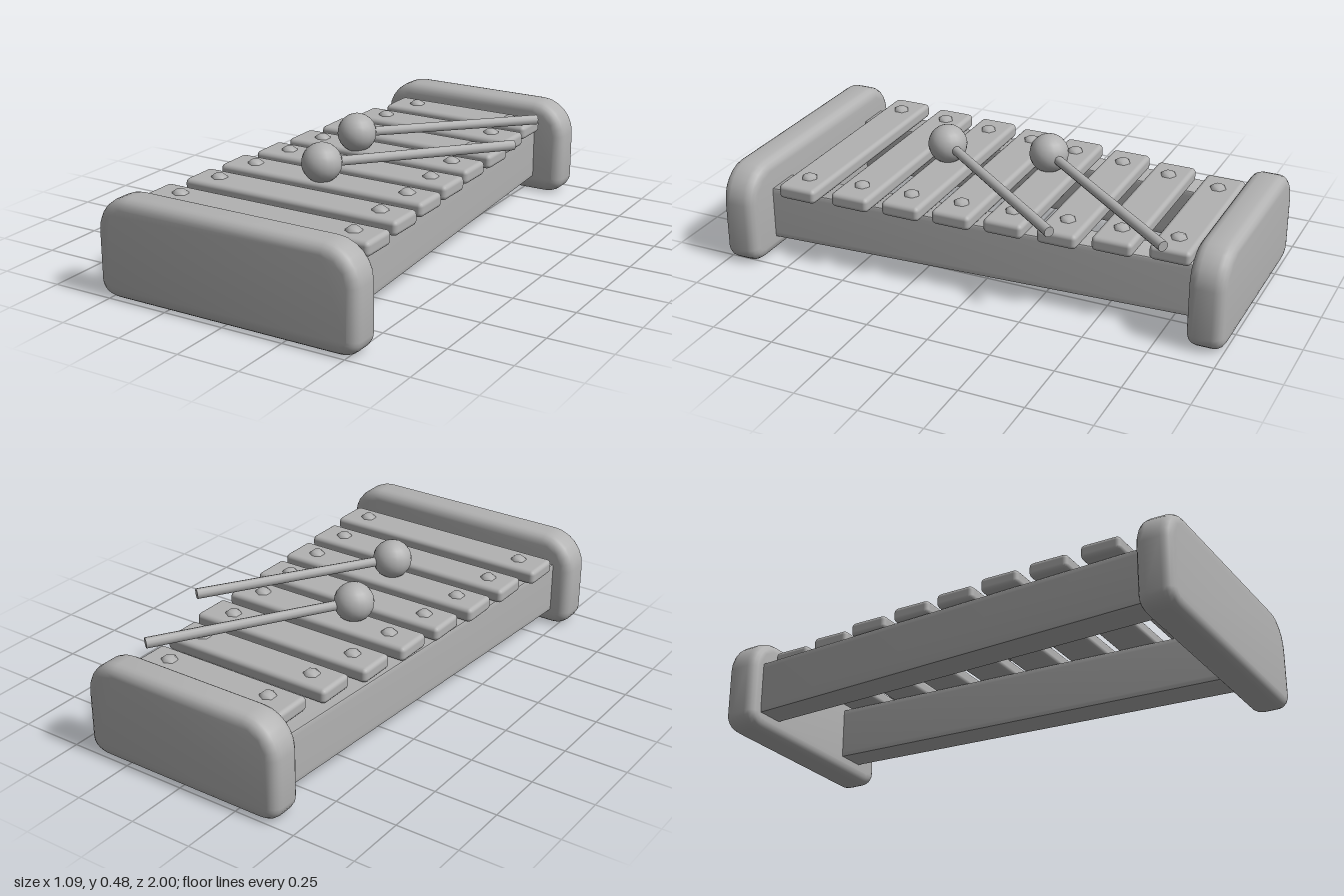
import * as THREE from 'three';
import { toCreasedNormals } from 'three/addons/utils/BufferGeometryUtils.js';
import { RoundedBoxGeometry } from 'three/addons/geometries/RoundedBoxGeometry.js';

const grey = new THREE.MeshStandardMaterial({ color: 0xb2b2b2 });
grey.name = 'plain grey';

function add(parent, name, geometry, x = 0, y = 0, z = 0) {
  const mesh = new THREE.Mesh(geometry, grey);
  mesh.name = name;
  mesh.position.set(x, y, z);
  parent.add(mesh);
  return mesh;
}

// Upright board with wide top corners, tight bottom corners and rounded rims
function endBoard(halfWidth) {
  const b = 0.04;
  const w = halfWidth - b, bottom = b, top = 0.392 - b;
  const s = new THREE.Shape();
  s.moveTo(-w + 0.045, bottom);
  s.lineTo(w - 0.045, bottom);
  s.quadraticCurveTo(w, bottom, w, bottom + 0.025);
  s.lineTo(w, top - 0.1);
  s.bezierCurveTo(w, top - 0.045, w - 0.045, top, w - 0.1, top);
  s.lineTo(-w + 0.1, top);
  s.bezierCurveTo(-w + 0.045, top, -w, top - 0.045, -w, top - 0.1);
  s.lineTo(-w, bottom + 0.025);
  s.quadraticCurveTo(-w, bottom, -w + 0.045, bottom);
  const geo = new THREE.ExtrudeGeometry(s, {
    depth: 0.14 - 2 * b, bevelSize: b, bevelThickness: b, bevelSegments: 4, curveSegments: 6,
  });
  geo.translate(0, 0, -0.07 + b);
  return toCreasedNormals(geo, 0.75);
}

// Tapering rail: a rounded bar whose section slides and narrows toward the back
function rail(frontX, frontWidth, backX, backWidth) {
  const geo = new RoundedBoxGeometry(1, 0.21, 1.76, 2, 0.02);
  const p = geo.attributes.position;
  for (let i = 0; i < p.count; i++) {
    const t = 0.5 - p.getZ(i) / 1.76;
    const centre = THREE.MathUtils.lerp(frontX, backX, t);
    const width = THREE.MathUtils.lerp(frontWidth, backWidth, t);
    p.setX(i, centre + p.getX(i) * width);
  }
  geo.computeVertexNormals();
  return toCreasedNormals(geo, 0.7);
}

// Mallet with a round head and a thin handle
function mallet(head, tip) {
  const group = new THREE.Group();
  group.name = 'mallet';
  add(group, 'malletHead', new THREE.SphereGeometry(0.078, 18, 12), head.x, head.y, head.z);
  const dir = tip.clone().sub(head);
  const mid = head.clone().add(tip).multiplyScalar(0.5);
  const handle = add(group, 'malletHandle',
    new THREE.CylinderGeometry(0.021, 0.019, dir.length(), 10), mid.x, mid.y, mid.z);
  handle.quaternion.setFromUnitVectors(new THREE.Vector3(0, 1, 0), dir.normalize());
  return group;
}

export function createModel() {
  const model = new THREE.Group();
  model.name = 'xylophone';

  add(model, 'frontBoard', endBoard(0.547), 0, 0, 0.93);
  add(model, 'backBoard', endBoard(0.428), 0, 0, -0.93);
  add(model, 'leftRail', rail(0.327, 0.145, 0.24, 0.12), 0, 0.17, 0);
  add(model, 'rightRail', rail(-0.4, 0.14, -0.312, 0.12), 0, 0.17, 0);

  // Sound bars: z, left end, right end, and the two screw positions
  const bars = [
    [0.71, -0.498, 0.465, -0.385, 0.36],
    [0.49, -0.475, 0.445, -0.37, 0.335],
    [0.28, -0.462, 0.43, -0.35, 0.325],
    [0.075, -0.438, 0.415, -0.33, 0.31],
    [-0.13, -0.42, 0.397, -0.305, 0.29],
    [-0.342, -0.397, 0.388, -0.285, 0.27],
    [-0.547, -0.362, 0.36, -0.25, 0.25],
    [-0.76, -0.33, 0.335, -0.217, 0.232],
  ];
  // Low domed screw head
  const screw = new THREE.LatheGeometry([
    new THREE.Vector2(0.033, -0.012), new THREE.Vector2(0.031, 0.004),
    new THREE.Vector2(0.018, 0.014), new THREE.Vector2(0, 0.015),
  ], 6);
  for (const [z, x0, x1, ...screws] of bars) {
    add(model, 'soundBar', new RoundedBoxGeometry(x1 - x0, 0.058, 0.158, 2, 0.018),
      (x0 + x1) / 2, 0.307, z);
    for (const x of screws) add(model, 'screw', screw, x, 0.337, z);
  }

  model.add(mallet(new THREE.Vector3(-0.12, 0.398, -0.095), new THREE.Vector3(0.36, 0.358, -0.745)));
  model.add(mallet(new THREE.Vector3(-0.03, 0.4, 0.305), new THREE.Vector3(0.45, 0.37, -0.345)));
  return model;
}
